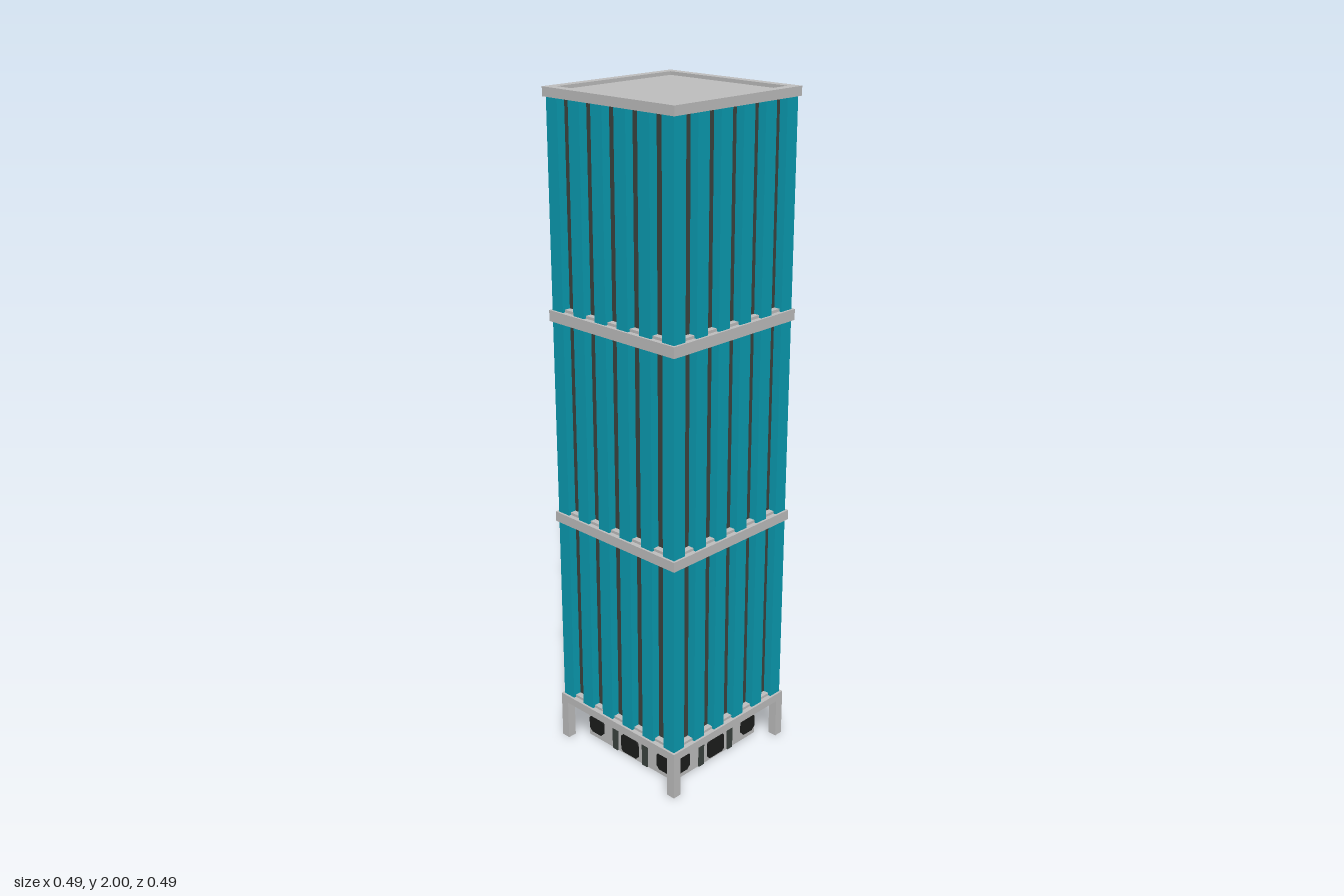
import * as THREE from 'three';

const mat = (name, color) => Object.assign(new THREE.MeshStandardMaterial({ color }), { name });

export function createModel() {
  const concrete = mat('concrete grey', 0xc0c0c0);
  const teal = mat('teal cladding', 0x0a9db3);
  const glass = mat('dark glass', 0x3c4440);
  const black = mat('window black', 0x1c1d1c);

  const model = new THREE.Group();
  model.name = 'tower';

  // Box given by its base height, top height and footprint
  const box = (parent, name, material, w, y0, y1, d, x = 0, z = 0) => {
    const mesh = new THREE.Mesh(new THREE.BoxGeometry(w, y1 - y0, d), material);
    mesh.position.set(x, (y0 + y1) / 2, z);
    mesh.name = name;
    parent.add(mesh);
    return mesh;
  };

  // Plate with clipped corners for the lobby openings
  const plate = (parent, name, w, y0, y1, cut, x, z) => {
    const h = w / 2;
    const outline = [[-h + cut, y0], [h - cut, y0], [h, y0 + cut], [h, y1 - cut],
      [h - cut, y1], [-h + cut, y1], [-h, y1 - cut], [-h, y0 + cut]];
    const shape = new THREE.Shape(outline.map(p => new THREE.Vector2(...p)));
    const mesh = new THREE.Mesh(
      new THREE.ExtrudeGeometry(shape, { depth: 0.009, bevelEnabled: false }), black);
    mesh.position.set(x, 0, z);
    mesh.name = name;
    parent.add(mesh);
  };

  const OUT = 0.243, HALF = 0.236, CORE = 0.21, STRIP = (2 * HALF) / 11;
  const ledges = [[0.125, 0.15], [0.74, 0.77], [1.356, 1.388]];
  const roofBase = 1.974;

  // Ledges and glazed core
  ledges.forEach(([y0, y1], i) =>
    box(model, i ? 'ledge' : 'baseSlab', concrete, 2 * OUT, y0, y1, 2 * OUT));
  const storeys = ledges.map(([, y1], i) => [y1, i < 2 ? ledges[i + 1][0] : roofBase]);
  storeys.forEach(([y0, y1]) => {
    box(model, 'glassCore', glass, 2 * CORE, y0, y1, 2 * CORE);
    for (const sx of [-1, 1]) for (const sz of [-1, 1]) {
      const c = HALF - STRIP / 2;
      box(model, 'cornerColumn', teal, STRIP, y0, y1, STRIP, sx * c, sz * c);
    }
  });

  // Roof with raised rim
  box(model, 'roofSlab', concrete, 2 * OUT, roofBase, 1.99, 2 * OUT);
  const RIM = 0.028;
  for (const s of [-1, 1]) {
    box(model, 'roofRim', concrete, 2 * OUT, 1.99, 2, RIM, 0, s * (OUT - RIM / 2));
    box(model, 'roofRim', concrete, RIM, 1.99, 2, 2 * (OUT - RIM), s * (OUT - RIM / 2), 0);
  }

  // Legs under the base slab
  const LEG = 0.028, lp = OUT - LEG / 2;
  for (const sx of [-1, 1]) for (const sz of [-1, 1])
    box(model, 'leg', concrete, LEG, 0, 0.125, LEG, sx * lp, sz * lp);

  // The four identical sides
  const LOBBY = 0.183, WALL = 0.008;
  for (let k = 0; k < 4; k++) {
    const side = new THREE.Group();
    side.name = 'side';
    side.rotation.y = k * Math.PI / 2;
    model.add(side);

    // Ribs between the glass strips, with sills at the foot of the glass
    for (const [y0, y1] of storeys) {
      const depth = HALF - CORE;
      for (let i = 1; i < 10; i++) {
        const x = -HALF + (i + 0.5) * STRIP;
        if (i % 2 === 0) box(side, 'rib', teal, STRIP, y0, y1, depth, x, CORE + depth / 2);
        else box(side, 'sill', concrete, STRIP, y0, y0 + 0.008, depth * 0.7, x, CORE + depth * 0.35);
      }
      const x9 = HALF - 1.5 * STRIP;
      box(side, 'sill', concrete, STRIP, y0, y0 + 0.008, 0.018, x9, CORE + 0.009);
    }

    // Hollow lobby wall with teal band, pillars, windows and door
    box(side, 'lobbyWall', concrete, 2 * LOBBY - WALL, 0, 0.125, WALL, -WALL / 2, LOBBY - WALL / 2);
    box(side, 'lobbyBand', teal, 0.382, 0.092, 0.113, 0.008, 0, LOBBY + 0.004);
    for (const s of [-1, 1]) {
      box(side, 'lobbyPillar', glass, 0.022, 0, 0.092, 0.005, s * 0.064, LOBBY + 0.0015);
      for (const z of [LOBBY - 0.004, LOBBY - WALL - 0.003])
        plate(side, 'lobbyWindow', 0.062, 0.018, 0.077, 0.012, s * 0.147, z);
    }
    for (const z of [LOBBY - 0.004, LOBBY - WALL - 0.003])
      plate(side, 'lobbyDoor', 0.072, 0.008, 0.07, 0.008, 0, z);
  }

  // Lobby ceiling
  box(model, 'lobbyCeiling', glass, 2 * (LOBBY - WALL), 0.112, 0.125, 2 * (LOBBY - WALL));

  return model;
}
